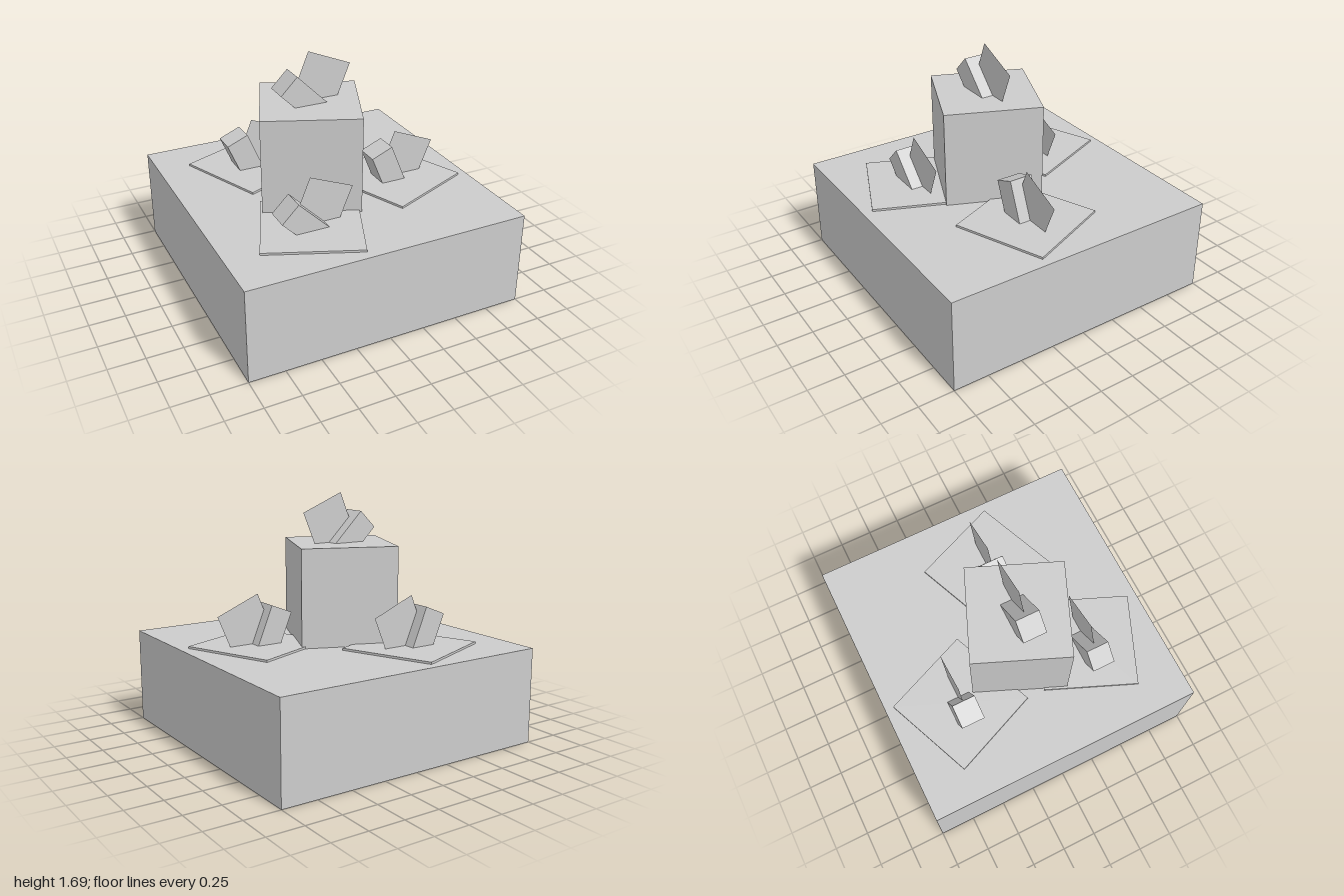
import * as THREE from 'three';

const TILT = Math.PI / 8;
const BASE_TOP = 0.67, PLATE_TOP = 0.685, CUBE_TOP = 1.35;

export function createModel() {
  const model = new THREE.Group();
  model.name = 'blockSculpture';
  const grey = new THREE.MeshStandardMaterial({ color: 0xcccccc, side: THREE.DoubleSide });
  grey.name = 'stoneGrey';

  const add = (parent, name, geometry, x, y, z) => {
    const mesh = new THREE.Mesh(geometry, grey);
    mesh.name = name;
    mesh.position.set(x, y, z);
    parent.add(mesh);
    return mesh;
  };

  // Square slab resting between two heights, turned about the vertical
  const slab = (name, size, bottom, top, x, z, turn) => {
    const geometry = new THREE.BoxGeometry(size, top - bottom, size);
    add(model, name, geometry, x, (bottom + top) / 2, z).rotation.y = turn;
  };

  // Leaning block crossed by a flat upright panel, both sunk into the surface
  const ornament = (name, x, y, z, steep) => {
    const group = new THREE.Group();
    group.name = name;
    group.position.set(x, y, z);
    const block = add(group, 'leaningBlock', new THREE.BoxGeometry(0.166, 0.333, 0.166),
      steep ? -0.083 : -0.063, steep ? 0.084 : 0.038, 0);
    block.rotation.z = steep ? TILT : 2 * TILT;
    const panel = add(group, 'flatPanel', new THREE.PlaneGeometry(0.333, 0.333), 0.085, 0.127, 0);
    panel.rotation.z = -TILT;
    model.add(group);
  };

  // Base and central cube
  slab('base', 2, 0, BASE_TOP, 0, 0, 0);
  slab('cube', 0.667, BASE_TOP, CUBE_TOP, -0.128, 0.04, -TILT);
  ornament('cubeOrnament', -0.128, CUBE_TOP, 0.04, false);

  // Thin plates around the cube, each with its ornament
  const plates = [
    ['back', -0.335, -0.503, TILT, true],
    ['front', -0.335, 0.498, -TILT, false],
    ['left', 0.5, 0.123, TILT, true],
  ];
  for (const [side, x, z, turn, steep] of plates) {
    slab(side + 'Plate', 0.667, BASE_TOP, PLATE_TOP, x, z, turn);
    ornament(side + 'Ornament', x, PLATE_TOP, z, steep);
  }
  return model;
}
